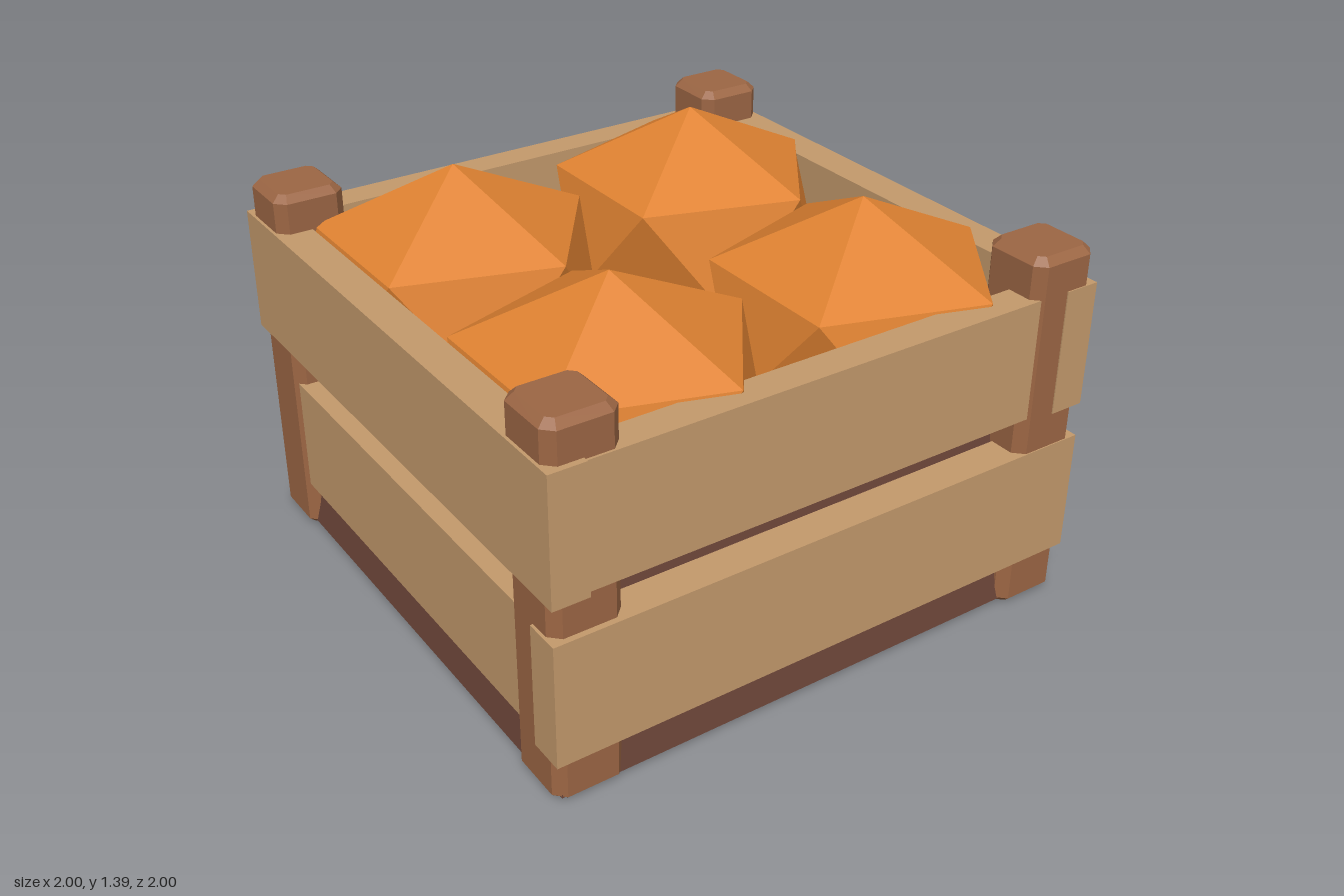
import * as THREE from 'three';

const mat = (name, color) => {
  const m = new THREE.MeshStandardMaterial({ color, flatShading: true });
  m.name = name;
  return m;
};

export function createModel() {
  const group = new THREE.Group();
  const slatWood = mat('light wood', 0xc49a6c);
  const postWood = mat('post wood', 0x9c6644);
  const baseWood = mat('dark wood', 0x6b4438);
  const peel = mat('orange peel', 0xdf8231);

  const add = (name, geometry, material, x, y, z) => {
    const mesh = new THREE.Mesh(geometry, material);
    mesh.name = name;
    mesh.position.set(x, y, z);
    group.add(mesh);
    return mesh;
  };

  // Board given by its minimum and maximum corners
  const board = (name, x0, x1, y0, y1, z0, z1) =>
    add(name, new THREE.BoxGeometry(x1 - x0, y1 - y0, z1 - z0), slatWood,
      (x0 + x1) / 2, (y0 + y1) / 2, (z0 + z1) / 2);

  // Solid base block, narrowing towards its top
  const base = new THREE.BoxGeometry(1.94, 0.68, 1.94);
  const p = base.attributes.position;
  for (let i = 0; i < p.count; i++) {
    if (p.getY(i) > 0) p.setXYZ(i, Math.sign(p.getX(i)) * 0.85, p.getY(i), Math.sign(p.getZ(i)) * 0.85);
  }
  base.computeVertexNormals();
  add('base', base, baseWood, 0, 0.36, 0);

  // Corner posts: chamfered on every edge, the +x pair standing slightly proud
  const bevel = 0.025, width = 0.245, height = 1.295;
  const h = width / 2 - bevel, c = 0.02;
  const outline = new THREE.Shape([
    [h, -h + c], [h, h - c], [h - c, h], [-h + c, h],
    [-h, h - c], [-h, -h + c], [-h + c, -h], [h - c, -h],
  ].map(([x, y]) => new THREE.Vector2(x, y)));
  const post = new THREE.ExtrudeGeometry(outline, {
    depth: height - 2 * bevel, bevelEnabled: true, bevelSegments: 1,
    bevelSize: bevel, bevelThickness: bevel,
  });
  post.rotateX(-Math.PI / 2);
  for (const sx of [-1, 1]) {
    for (const sz of [-1, 1]) {
      const face = sx > 0 ? 0.996 : 0.98;
      add('cornerPost', post, postWood, sx * (0.99 - width / 2), bevel, sz * (face - width / 2));
    }
  }

  // Upper slats: side pair runs full length, front and back fit between them
  board('upperRightSlat', 0.875, 1, 0.725, 1.163, -1, 1);
  board('upperLeftSlat', -1, -0.875, 0.725, 1.163, -1, 1);
  board('upperFrontSlat', -0.9, 0.9, 0.733, 1.157, 0.875, 0.988);
  board('upperBackSlat', -0.9, 0.9, 0.733, 1.157, -0.988, -0.875);

  // Lower slats: the front one overlaps the posts, the others sit between them
  board('lowerFrontSlat', -1, 1, 0.17, 0.603, 0.875, 1);
  board('lowerRightSlat', 0.865, 0.977, 0.178, 0.592, -0.9, 0.9);
  board('lowerLeftSlat', -0.977, -0.865, 0.178, 0.592, -0.9, 0.9);
  board('lowerBackSlat', -0.9, 0.9, 0.178, 0.592, -0.97, -0.865);

  // Faceted fruit: icosahedra standing on a vertex, slightly flattened
  const fruit = new THREE.IcosahedronGeometry(0.537, 0);
  fruit.rotateZ(-Math.atan(2 / (1 + Math.sqrt(5))));
  fruit.scale(1, 0.77, 1);
  fruit.computeVertexNormals();
  for (const x of [-0.473, 0.473]) {
    for (const z of [-0.475, 0.475]) add('fruit', fruit, peel, x, 0.98, z);
  }

  return group;
}
